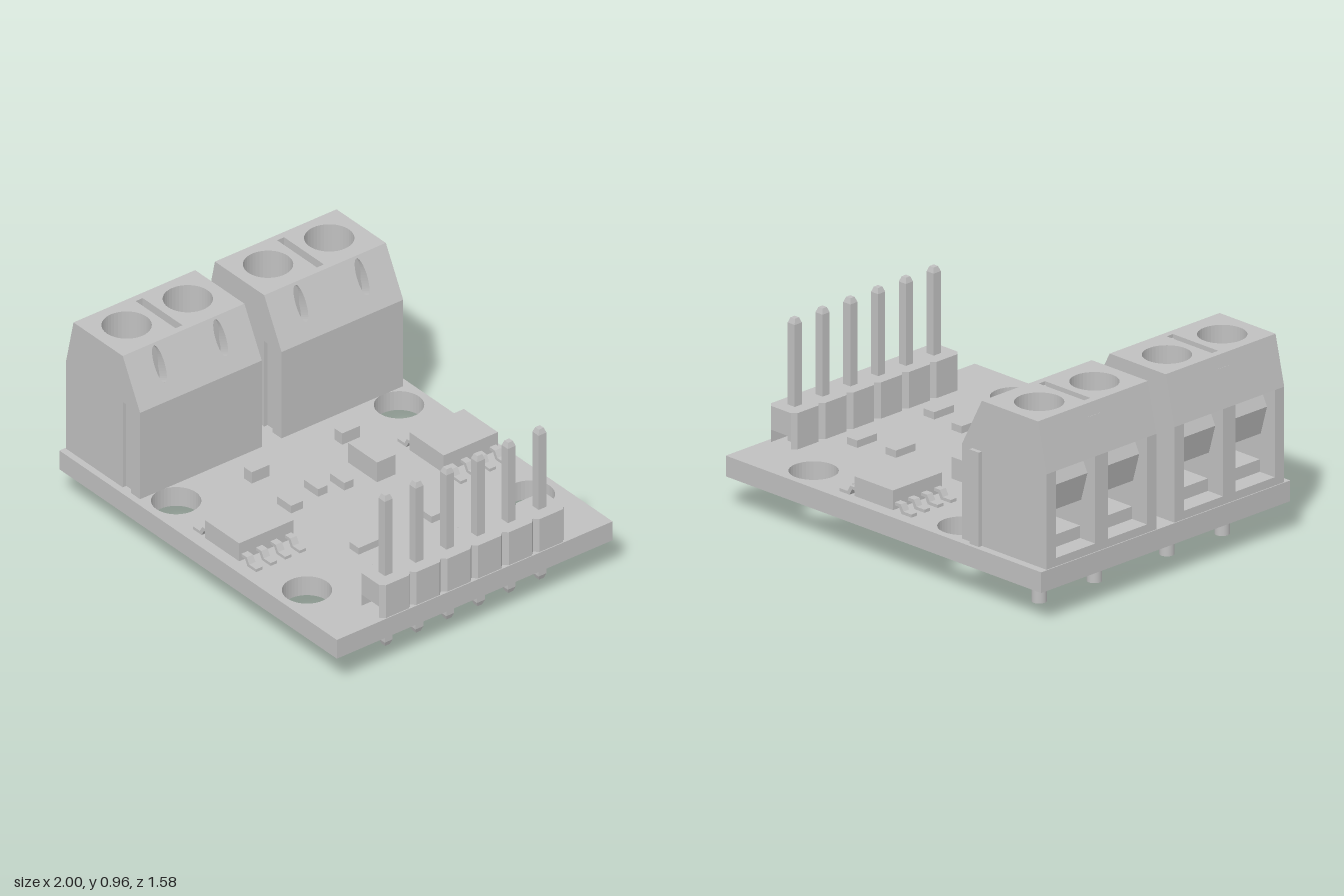
import * as THREE from 'three';

const grey = new THREE.MeshStandardMaterial({ color: 0xc0c0c0 });
grey.name = 'plain grey';

function add(parent, name, geo, x = 0, y = 0, z = 0) {
  const m = new THREE.Mesh(geo, grey);
  m.name = name;
  m.position.set(x, y, z);
  parent.add(m);
  return m;
}

// Box given by its limits
function box(parent, name, x0, x1, y0, y1, z0, z1) {
  return add(parent, name, new THREE.BoxGeometry(x1 - x0, y1 - y0, z1 - z0),
    (x0 + x1) / 2, (y0 + y1) / 2, (z0 + z1) / 2);
}

const poly = pts => new THREE.Shape(pts.map(p => new THREE.Vector2(p[0], p[1])));
const rect = (x0, x1, y0, y1) => poly([[x0, y0], [x1, y0], [x1, y1], [x0, y1]]);
const oval = (x, y, rx, ry) => new THREE.Shape().absellipse(x, y, rx, ry, 0, Math.PI * 2, false);
const extrude = (shape, depth) =>
  new THREE.ExtrudeGeometry(shape, { depth, bevelEnabled: false, curveSegments: 20 });

// Side profile (x, y) drawn out from z0 to z1
const prism = (parent, name, pts, z0, z1) => add(parent, name, extrude(poly(pts), z1 - z0), 0, 0, z0);

// Plan shape (x, -z) drawn out from y0 up to y1
const slab = (parent, name, shape, y0, y1) =>
  add(parent, name, extrude(shape, y1 - y0).rotateX(-Math.PI / 2), 0, y0, 0);

function terminalBlock(zc) {
  const g = new THREE.Group();
  g.name = 'terminalBlock';
  g.position.z = zc;
  const h = 0.348, screws = [-0.175, 0.175];
  const upper = [[-0.46, 0.72], [-0.585, 0.96], [-0.94, 0.96], [-0.995, 0.72], [-0.995, 0.26]];
  const profile = [[-0.46, 0.26], ...upper];
  const grooved = [[-0.525, 0.26], ...profile, [-0.585, 0.26], [-0.585, 0.715], [-0.525, 0.715]];

  // End walls, with a rib on one side and the matching groove on the other
  prism(g, 'endWall', profile, -h, -h + 0.06);
  prism(g, 'endWall', profile, h - 0.06, h - 0.02);
  prism(g, 'groovedWall', grooved, h - 0.02, h);
  box(g, 'rib', -0.585, -0.525, 0.26, 0.715, -h - 0.02, -h);
  prism(g, 'middleWall', [[-0.46, 0.26], [-0.46, 0.72], [-0.57, 0.9],
    [-0.955, 0.9], [-0.995, 0.72], [-0.995, 0.26]], -0.04, 0.04);
  box(g, 'innerWall', -0.6, -0.46, 0.26, 0.72, -h + 0.03, h - 0.03);
  prism(g, 'wireSideSlope', [[-0.995, 0.72], [-0.935, 0.72], [-0.94, 0.96]], -h, h);

  // Top with screw wells and a slot between them
  const top = rect(-0.94, -0.585, -h, h);
  screws.forEach(z => top.holes.push(oval(-0.775, z, 0.113, 0.113)));
  top.holes.push(rect(-0.905, -0.618, -0.02, 0.02));
  slab(g, 'top', top, 0.72, 0.96);

  // Sloping face with oval test holes
  const len = Math.hypot(0.125, 0.24);
  const slope = rect(-h, h, 0, len);
  screws.forEach(z => slope.holes.push(oval(z, 0.17, 0.0275, 0.088)));
  const up = new THREE.Vector3(-0.125 / len, 0.24 / len, 0);
  const out = new THREE.Vector3(0.24 / len, 0.125 / len, 0);
  const face = extrude(slope, 0.06).translate(0, 0, -0.06);
  face.applyMatrix4(new THREE.Matrix4().makeBasis(new THREE.Vector3(0, 0, -1), up, out));
  add(g, 'slopingFace', face, -0.46, 0.72, 0);

  for (const z of screws) {
    // Cross-head screw
    const head = oval(-0.775, -z, 0.108, 0.108);
    const a = 0.025, b = 0.095;
    const cross = [[a, a], [a, b], [-a, b], [-a, a], [-b, a], [-b, -a],
      [-a, -a], [-a, -b], [a, -b], [a, -a], [b, -a], [b, a]];
    head.holes.push(poly(cross.map(([x, y]) => [x - 0.775, y - z])));
    slab(g, 'screwHead', head, 0.74, 0.78);
    add(g, 'screwBase', new THREE.CylinderGeometry(0.113, 0.113, 0.06, 32), -0.775, 0.71, z);
    // Wire opening: clamp and stepped floor
    const c = Math.sign(z) * 0.164;
    prism(g, 'clamp', [[-0.62, 0.5], [-0.62, 0.72], [-0.93, 0.72], [-0.97, 0.64], [-0.93, 0.5]],
      c - 0.1, c + 0.1);
    box(g, 'openingFloor', -0.995, -0.6, 0.26, 0.3, c - 0.124, c + 0.124);
    box(g, 'openingStep', -0.9, -0.6, 0.3, 0.36, c - 0.124, c + 0.124);
    add(g, 'solderPin', new THREE.CylinderGeometry(0.035, 0.035, 0.2, 20), -0.775, 0.1, z);
  }
  return g;
}

function chip(zc) {
  const g = new THREE.Group();
  g.name = 'chip';
  g.position.z = zc;
  box(g, 'chipBody', -0.015, 0.23, 0.27, 0.365, -0.155, 0.155);
  // Bent leads, mirrored across the body
  const lead = [[0.1, 0.305], [0.16, 0.305], [0.178, 0.275], [0.228, 0.275],
    [0.228, 0.26], [0.165, 0.26], [0.148, 0.29], [0.1, 0.29]];
  for (let i = 0; i < 4; i++) {
    const z = -0.125 + i * 0.083;
    for (const s of [-1, 1])
      prism(g, 'lead', lead.map(([x, y]) => [0.108 + s * x, y]), z - 0.018, z + 0.018);
  }
  return g;
}

function pinHeader() {
  const g = new THREE.Group();
  g.name = 'pinHeader';
  const x = 0.91, pitch = 0.176, p = pitch / 2, c = 0.022, w = 0.085;
  for (let i = 0; i < 6; i++) {
    const z = -0.443 + i * pitch;
    const seg = poly([[x - w, -p + c], [x - w + c, -p], [x + w - c, -p], [x + w, -p + c],
      [x + w, p - c], [x + w - c, p], [x - w + c, p], [x - w, p - c]]);
    slab(g, 'housing', seg, 0.32, 0.435).position.z = z;
    // Feet on either side of the channel
    for (const s of [-1, 1]) {
      const pts = [[s * w, -p + c], [s * w, p - c], [s * (w - c), p], [s * (w - c), -p]];
      slab(g, 'foot', poly(pts.map(([u, v]) => [x + u, v])), 0.26, 0.32).position.z = z;
    }
    // Square pin with tapered tips
    const r = 0.0225 * Math.SQRT2, t = r * 0.6;
    const tip = (a, b) => new THREE.CylinderGeometry(a, b, 0.025, 4).rotateY(Math.PI / 4).toNonIndexed();
    box(g, 'pin', x - 0.0225, x + 0.0225, 0.08, 0.83, z - 0.0225, z + 0.0225);
    for (const [geo, y] of [[tip(t, r), 0.8425], [tip(r, t), 0.0675]]) {
      geo.computeVertexNormals();
      add(g, 'pinTip', geo, x, y, z);
    }
  }
  return g;
}

export function createModel() {
  const model = new THREE.Group();
  model.name = 'circuitBoardModule';

  // Board with four mounting holes
  const board = rect(-1, 1, -0.787, 0.79);
  for (const x of [-0.35, 0.593])
    for (const z of [-0.64, 0.635]) board.holes.push(oval(x, -z, 0.113, 0.113));
  slab(model, 'board', board, 0.16, 0.26);

  model.add(terminalBlock(-0.403), terminalBlock(0.406));
  model.add(chip(-0.59), chip(0.58), pinHeader());

  // Small surface parts: x0, x1, z0, z1, top
  const parts = [
    [-0.12, 0.09, -0.27, -0.165, 0.365],
    [-0.305, -0.25, -0.337, -0.235, 0.32], [-0.305, -0.25, 0.18, 0.282, 0.32],
    [-0.05, 0.053, -0.06, -0.007, 0.3], [-0.083, 0.02, 0.063, 0.117, 0.3],
    [-0.05, 0.053, 0.228, 0.297, 0.3],
    [0.442, 0.508, -0.27, -0.145, 0.295], [0.442, 0.508, 0.147, 0.272, 0.295],
    [0.65, 0.716, -0.307, -0.182, 0.295], [0.65, 0.716, 0.18, 0.305, 0.295],
  ];
  for (const [x0, x1, z0, z1, top] of parts) box(model, 'surfacePart', x0, x1, 0.26, top, z0, z1);

  return model;
}
